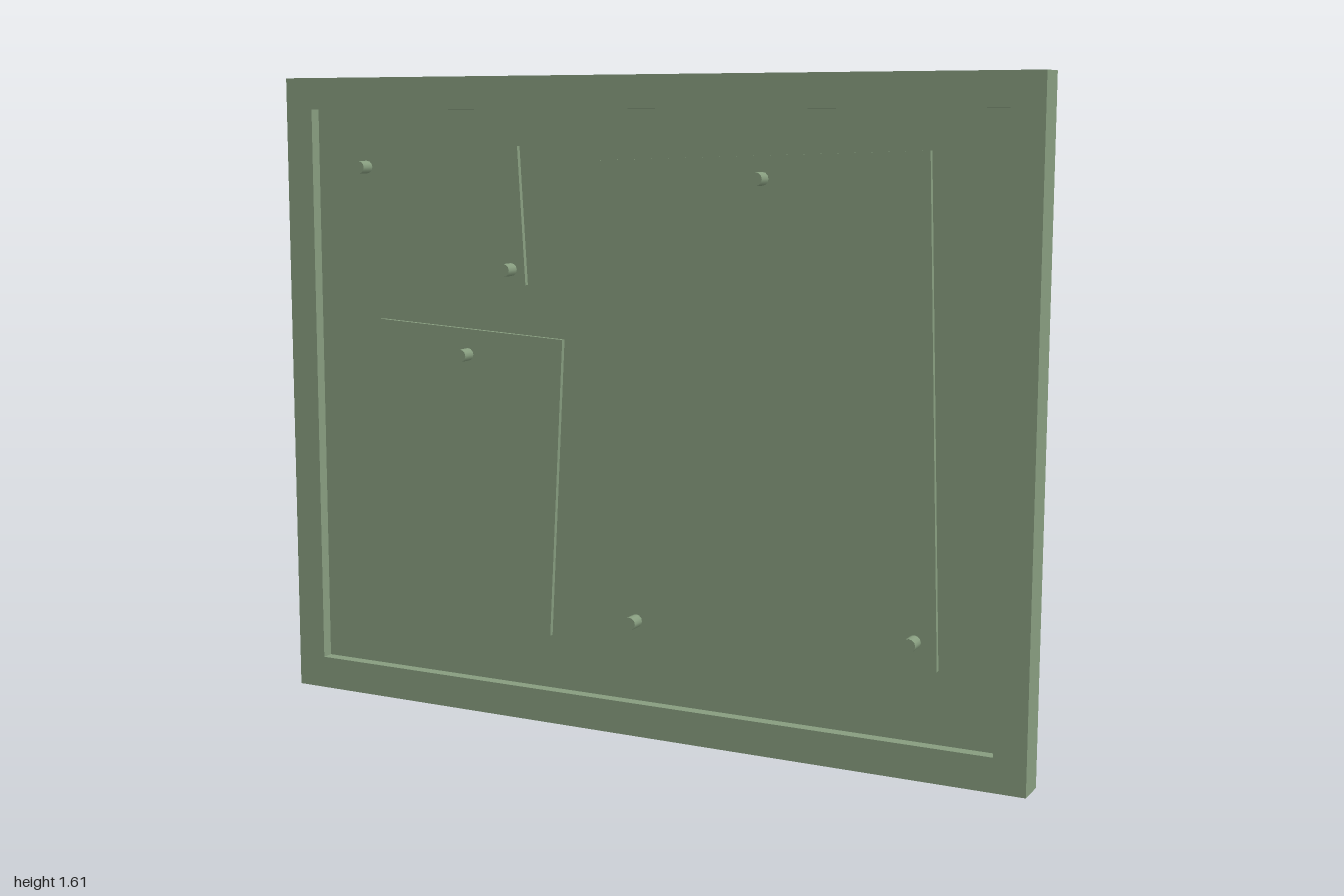
import * as THREE from 'three';

const WIDTH = 2, HEIGHT = 1.61;
const BACK = -0.05, FLOOR = 0, FRONT = 0.03, PAPER = 0.012, PIN_TIP = 0.05;

export function createModel() {
  const group = new THREE.Group();
  const material = new THREE.MeshStandardMaterial({ color: 0x869c7e });

  const add = (name, geometry, x, y, z, angle = 0) => {
    const mesh = new THREE.Mesh(geometry, material);
    mesh.name = name;
    mesh.position.set(x, y, z);
    mesh.rotation.z = angle;
    group.add(mesh);
  };

  // Raised rim: rectangle with a rectangular opening
  const rim = new THREE.Shape([
    new THREE.Vector2(-1, 0), new THREE.Vector2(1, 0),
    new THREE.Vector2(1, HEIGHT), new THREE.Vector2(-1, HEIGHT),
  ]);
  rim.holes.push(new THREE.Path([
    new THREE.Vector2(-0.922, 0.083), new THREE.Vector2(-0.922, 1.53),
    new THREE.Vector2(0.922, 1.53), new THREE.Vector2(0.922, 0.083),
  ]));
  add('frame', new THREE.ExtrudeGeometry(rim, { depth: FRONT - BACK, bevelEnabled: false }), 0, 0, BACK);

  // Board filling the opening, flush with the back of the frame
  add('board', new THREE.BoxGeometry(1.844, 1.447, FLOOR - BACK), 0, 0.8065, (BACK + FLOOR) / 2);

  // Slightly tilted notices: x, y, width, height, angle
  const notices = [
    ['smallNotice', -0.55, 1.256, 0.481, 0.341, 0.061],
    ['mediumNotice', -0.483, 0.609, 0.535, 0.751, -0.052],
    ['largeNotice', 0.34, 0.833, 0.838, 1.18, 0.035],
  ];
  for (const [name, x, y, w, h, angle] of notices) {
    add(name, new THREE.BoxGeometry(w, h, PAPER - FLOOR), x, y, (FLOOR + PAPER) / 2, angle);
  }

  // Pins holding the notices
  const pinGeometry = new THREE.CylinderGeometry(0.016, 0.016, PIN_TIP - FLOOR, 12).rotateX(Math.PI / 2);
  const pins = [
    [-0.765, 1.385], [-0.34, 1.138], [-0.469, 0.92],
    [0.334, 1.37], [0.008, 0.288], [0.724, 0.322],
  ];
  pins.forEach(([x, y], i) => add(`pin${i + 1}`, pinGeometry, x, y, (FLOOR + PIN_TIP) / 2));

  return group;
}
